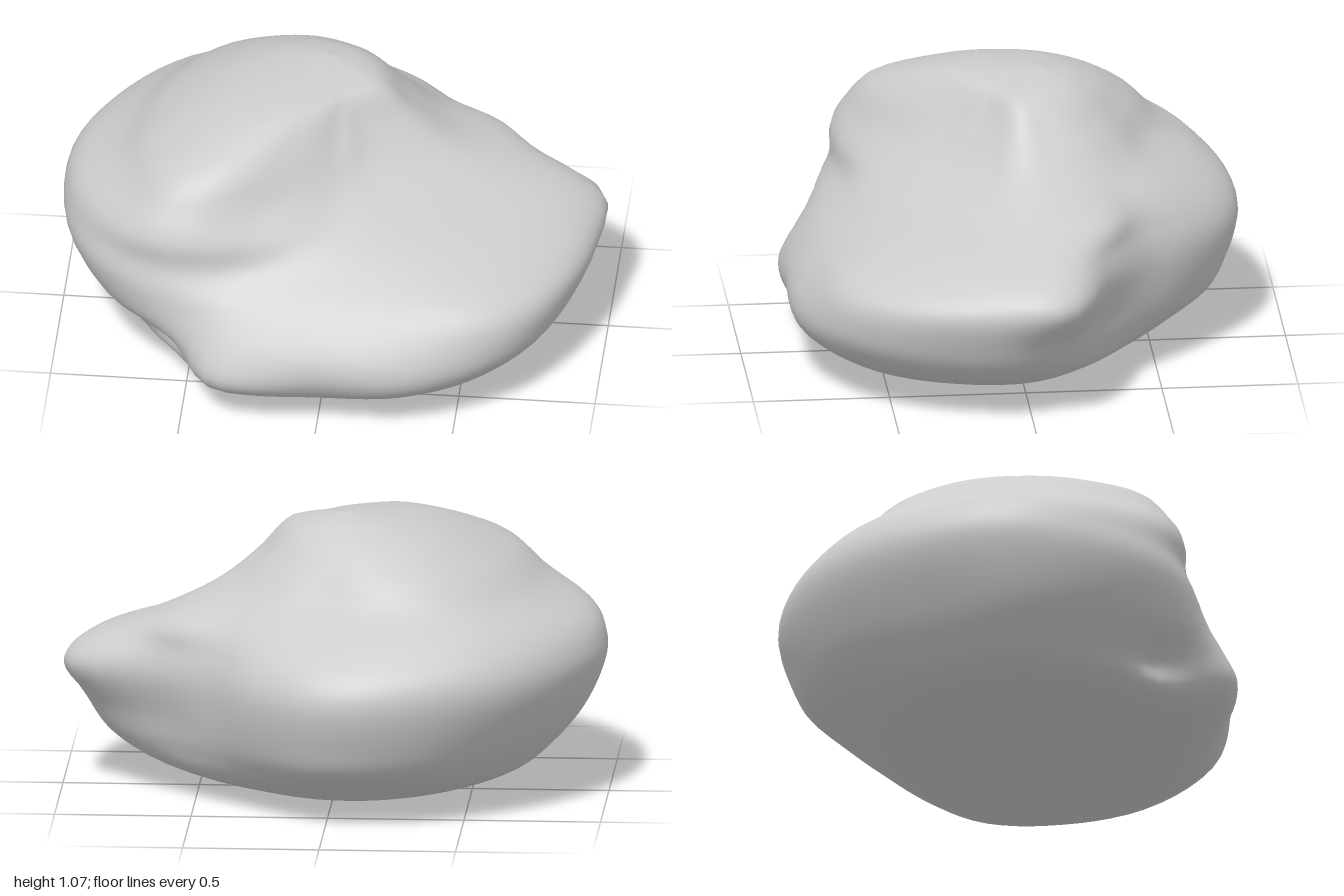
import * as THREE from 'three';
import { mergeVertices } from 'three/addons/utils/BufferGeometryUtils.js';

// Radii of each level at 16 directions, from +x round through +z, -x and -z
const LEVELS = [
  [0.66, 0.7, 0.73, 0.71, 0.69, 0.73, 0.71, 0.69, 0.68, 0.65, 0.61, 0.57, 0.53, 0.5, 0.5, 0.56],
  [0.82, 0.86, 0.88, 0.86, 0.81, 0.87, 0.79, 0.8, 0.81, 0.77, 0.75, 0.74, 0.71, 0.62, 0.58, 0.64],
  [0.9, 0.94, 0.95, 0.88, 0.83, 0.86, 0.87, 0.91, 0.91, 0.86, 0.84, 0.82, 0.78, 0.68, 0.62, 0.68],
  [0.95, 0.96, 0.92, 0.78, 0.73, 0.77, 0.89, 0.98, 0.98, 0.94, 0.91, 0.87, 0.82, 0.71, 0.64, 0.73],
  [0.87, 0.8, 0.7, 0.61, 0.59, 0.66, 0.86, 0.97, 0.99, 0.95, 0.91, 0.85, 0.78, 0.68, 0.62, 0.71],
  [0.63, 0.5, 0.43, 0.42, 0.46, 0.61, 0.86, 0.93, 0.94, 0.89, 0.84, 0.75, 0.66, 0.6, 0.57, 0.66],
  [0.43, 0.33, 0.28, 0.28, 0.34, 0.5, 0.8, 0.81, 0.77, 0.74, 0.7, 0.6, 0.49, 0.46, 0.44, 0.44],
  [0.28, 0.21, 0.18, 0.19, 0.23, 0.38, 0.67, 0.67, 0.62, 0.59, 0.56, 0.48, 0.39, 0.35, 0.32, 0.29],
  [0.16, 0.12, 0.1, 0.1, 0.13, 0.2, 0.33, 0.36, 0.35, 0.34, 0.32, 0.29, 0.25, 0.22, 0.19, 0.17],
];
const HEIGHTS = [0, 0.025, 0.1, 0.2, 0.32, 0.47, 0.58, 0.68, 0.78, 0.9, 1.02, 1.065];

// Smooth curve through evenly spaced values
function spline(at, t) {
  const i = Math.floor(t), f = t - i;
  const a = at(i - 1), b = at(i), c = at(i + 1), d = at(i + 2);
  return b + 0.5 * f * (c - a + f * (2 * a - 5 * b + 4 * c - d + f * (3 * (b - c) + d - a)));
}

// Rounded swelling around one direction and height
function bump(angle, y, angle0, y0, width, height) {
  const d = Math.atan2(Math.sin(angle - angle0), Math.cos(angle - angle0));
  return Math.exp(-((d / width) ** 2) - ((y - y0) / height) ** 2);
}

function boulderGeometry(rows = 66, cols = 80) {
  // Add the underside ring and close both ends to a point
  const point = new Array(16).fill(0);
  const rings = [point, LEVELS[0].map((r) => r * 0.6), ...LEVELS, point];
  const last = rings.length - 1;
  const clamp = (i) => Math.min(last, Math.max(0, i));
  const positions = [], index = [];

  for (let i = 0; i <= rows; i++) {
    const t = (i / rows) * last;
    const y = spline((k) => HEIGHTS[clamp(k)], t);
    const shift = Math.max(0, t - last + 1); // the summit lies a little to the back
    for (let j = 0; j < cols; j++) {
      const u = (j / cols) * 16, angle = (j / cols) * Math.PI * 2;
      let r = Math.max(0, spline((k) => spline((m) => rings[clamp(k)][(m + 16) % 16], u), t));
      r += 0.1 * bump(angle, y, -0.16, 0.49, 0.17, 0.13); // side nub
      r += 0.03 * bump(angle, y, 2.04, 0.2, 0.12, 0.12); // low front knob
      r -= 0.05 * bump(angle, y, 2.4, 0.22, 0.14, 0.07); // hollow beside the knob
      if (i === 0 || i === rows) r = 0;
      positions.push(
        Math.cos(angle) * r - 0.05 * shift,
        Math.max(0, y),
        Math.sin(angle) * r - 0.12 * shift,
      );
      if (i < rows) {
        const a = i * cols + j, b = i * cols + ((j + 1) % cols);
        index.push(a, a + cols, b, b, a + cols, b + cols);
      }
    }
  }
  let geometry = new THREE.BufferGeometry();
  geometry.setAttribute('position', new THREE.Float32BufferAttribute(positions, 3));
  geometry.setIndex(index);
  geometry = mergeVertices(geometry);
  geometry.computeVertexNormals();
  return geometry;
}

export function createModel() {
  const group = new THREE.Group();
  const boulder = new THREE.Mesh(
    boulderGeometry(),
    new THREE.MeshStandardMaterial({ color: 0xcccccc }),
  );
  boulder.name = 'boulder';
  group.add(boulder);
  return group;
}
